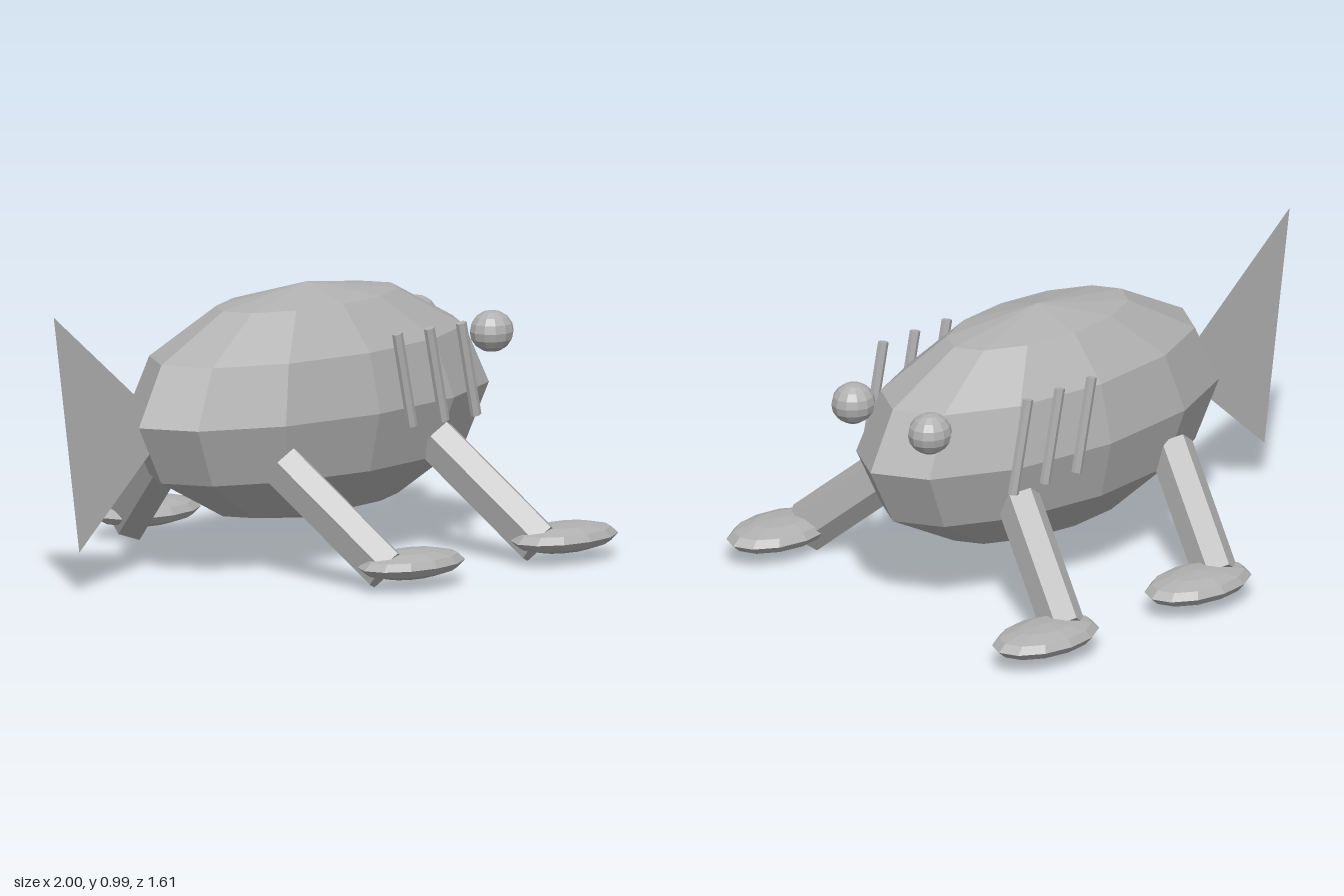
import * as THREE from 'three';

export function createModel() {
  const model = new THREE.Group();
  const grey = new THREE.MeshStandardMaterial({ color: 0xb0b0b0, flatShading: true });
  grey.name = 'plain grey';
  const greyFin = new THREE.MeshStandardMaterial({ color: 0xb0b0b0, side: THREE.DoubleSide, flatShading: true });
  greyFin.name = 'fin grey';

  const add = (name, geometry, material = grey) => {
    const mesh = new THREE.Mesh(geometry, material);
    mesh.name = name;
    model.add(mesh);
    return mesh;
  };

  const ellipsoid = (name, centre, radii, rows) => {
    const mesh = add(name, new THREE.SphereGeometry(1, 12, rows));
    mesh.position.set(...centre);
    mesh.scale.set(...radii);
    return mesh;
  };

  // Six-sided rod between two points; a is its half width along the body, b across it
  const rod = (name, from, to, a, b) => {
    const start = new THREE.Vector3(...from), end = new THREE.Vector3(...to);
    const axis = start.clone().sub(end);
    const length = axis.length();
    axis.normalize();
    const across = new THREE.Vector3(1, 0, 0).cross(axis).normalize();
    const along = axis.clone().cross(across);
    const geometry = new THREE.CylinderGeometry(1, 1, length, 6);
    geometry.scale(a, 1, b);
    geometry.applyMatrix4(new THREE.Matrix4().makeBasis(along, axis, across));
    const mesh = add(name, geometry);
    mesh.position.copy(start).add(end).multiplyScalar(0.5);
    return mesh;
  };

  // Body
  ellipsoid('body', [0.19, 0.545, 0], [0.79, 0.415, 0.37], 6);

  // Flat triangular tail fin
  const fin = new THREE.Shape([
    new THREE.Vector2(-1, 0.985),
    new THREE.Vector2(-0.88, 0.145),
    new THREE.Vector2(-0.46, 0.53),
  ]);
  add('tailFin', new THREE.ShapeGeometry(fin), greyFin);

  for (const side of [1, -1]) {
    // Eye
    ellipsoid('eye', [0.88, 0.723, side * 0.193], [0.08, 0.073, 0.074], 8);

    // Gill bars
    for (let i = 0; i < 3; i++) {
      const x = 0.277 + i * 0.15;
      rod('gillBar', [x, 0.815, side * 0.365], [x + 0.07, 0.482, side * 0.365], 0.021, 0.016);
    }

    // Back and front leg, each with a foot
    for (const [place, x] of [['back', 0], ['front', 0.72]]) {
      rod(place + 'Leg', [x - 0.183, 0.4, side * 0.275], [x - 0.045, 0.066, side * 0.655], 0.072, 0.09);
      ellipsoid(place + 'Foot', [x + 0.06, 0.08, side * 0.67], [0.22, 0.05, 0.134], 6);
    }
  }

  return model;
}
